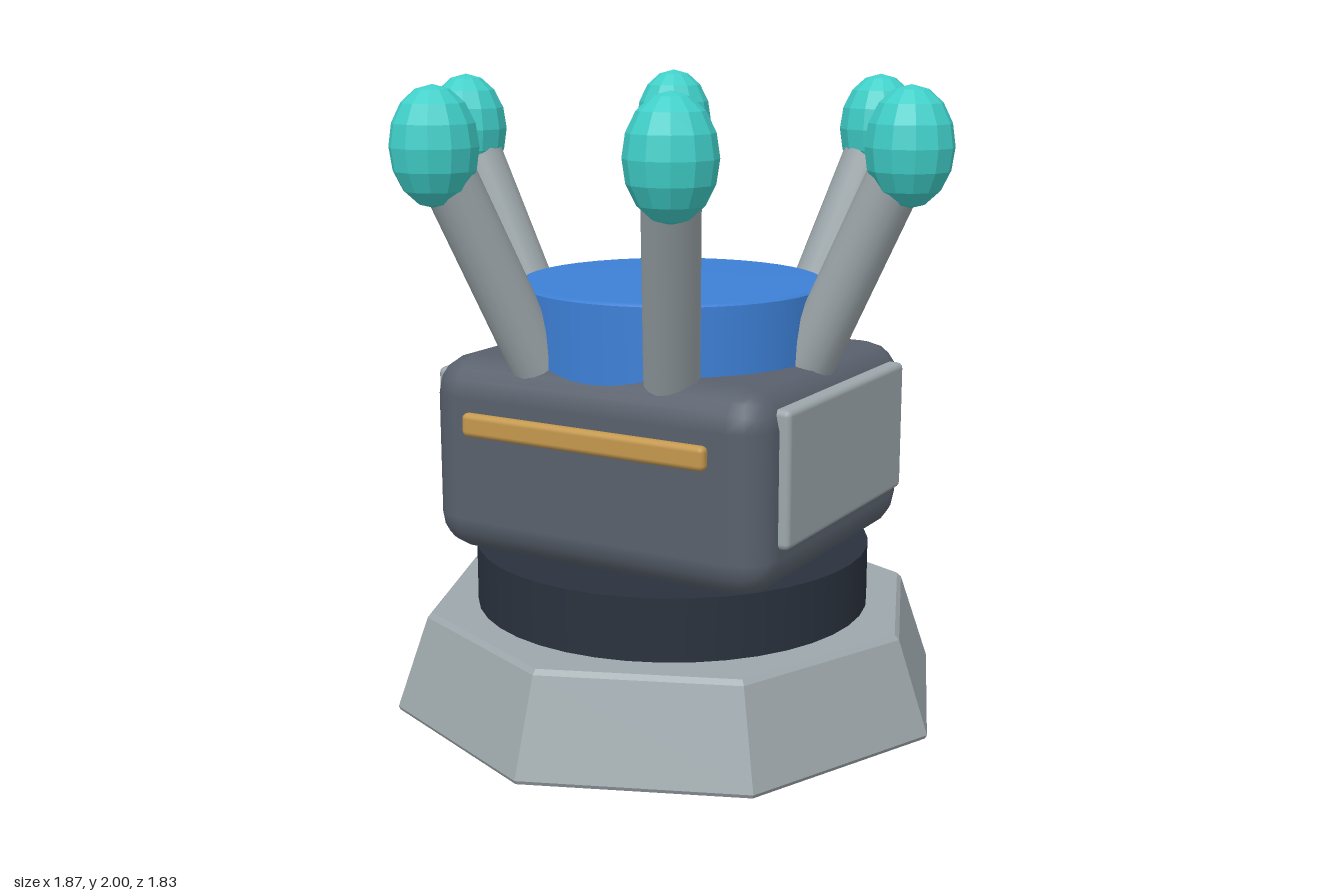
import * as THREE from 'three';
import { RoundedBoxGeometry } from 'three/addons/geometries/RoundedBoxGeometry.js';

const paint = (name, color, flatShading = false) => {
  const m = new THREE.MeshStandardMaterial({ color, flatShading });
  m.name = name;
  return m;
};

export function createModel() {
  const grey = paint('light grey', 0x9da7ab);
  const slate = paint('slate', 0x59616d);
  const navy = paint('dark navy', 0x2a323e);
  const blue = paint('blue', 0x3d80d6);
  const teal = paint('teal', 0x40cfc9);
  const brass = paint('brass', 0xc4984e);
  teal.flatShading = true;

  const model = new THREE.Group();
  model.name = 'podWithStalks';
  const add = (name, geometry, material, x = 0, y = 0, z = 0) => {
    const mesh = new THREE.Mesh(geometry, material);
    mesh.name = name;
    mesh.position.set(x, y, z);
    model.add(mesh);
    return mesh;
  };
  const lathe = (profile, sides) =>
    new THREE.LatheGeometry(profile.map(([r, y]) => new THREE.Vector2(r, y)), sides);
  // Per-face normals for hard-edged parts
  const faceted = (geometry) => {
    const g = geometry.toNonIndexed();
    g.computeVertexNormals();
    return g;
  };

  // Octagonal foot with narrow bevels, corners on the axes
  add('base', faceted(lathe([[0, 0], [0.908, 0], [0.914, 0.012], [0.812, 0.305], [0.797, 0.32], [0, 0.32]], 8)), grey);

  // Turntable ring
  add('turntable', new THREE.CylinderGeometry(0.64, 0.64, 0.21, 40), navy, 0, 0.415, 0);

  // Rounded housing
  add('body', new RoundedBoxGeometry(1.2, 0.63, 1.05, 2, 0.12), slate, 0, 0.835, 0);

  // Side panels
  for (const side of [1, -1]) {
    add(side > 0 ? 'leftPanel' : 'rightPanel',
      new RoundedBoxGeometry(0.06, 0.42, 0.83, 2, 0.02), grey, side * 0.6, 0.882, 0);
  }

  // Front trim bar
  add('frontBar', new RoundedBoxGeometry(0.86, 0.075, 0.04, 2, 0.018), brass, 0, 0.955, 0.545);

  // Drum on top, with a small edge bevel
  add('drum', new THREE.CylinderGeometry(0.49, 0.49, 0.26, 40, 1, true), blue, 0, 1.23, 0);
  add('drumLid', lathe([[0.49, 1.36], [0.48, 1.37], [0, 1.37]], 40), blue);

  // Six leaning stalks with faceted tips
  const up = new THREE.Vector3(0, 1, 0);
  for (let i = 0; i < 6; i++) {
    const a = (i * Math.PI) / 3;
    const at = (r, y) => new THREE.Vector3(Math.cos(a) * r, y, Math.sin(a) * r);
    const foot = at(0.423, 1.02);
    const tip = at(0.8, 1.82);
    const lean = tip.clone().sub(foot);
    const mid = foot.clone().add(tip).multiplyScalar(0.5);
    const stalk = add('stalk' + (i + 1),
      new THREE.CylinderGeometry(0.085, 0.085, lean.length(), 16), grey, mid.x, mid.y, mid.z);
    stalk.quaternion.setFromUnitVectors(up, lean.normalize());
    const bulb = add('stalkTip' + (i + 1), new THREE.SphereGeometry(0.133, 12, 8), teal, tip.x, tip.y, tip.z);
    bulb.scale.y = 0.18 / 0.133;
  }

  return model;
}
